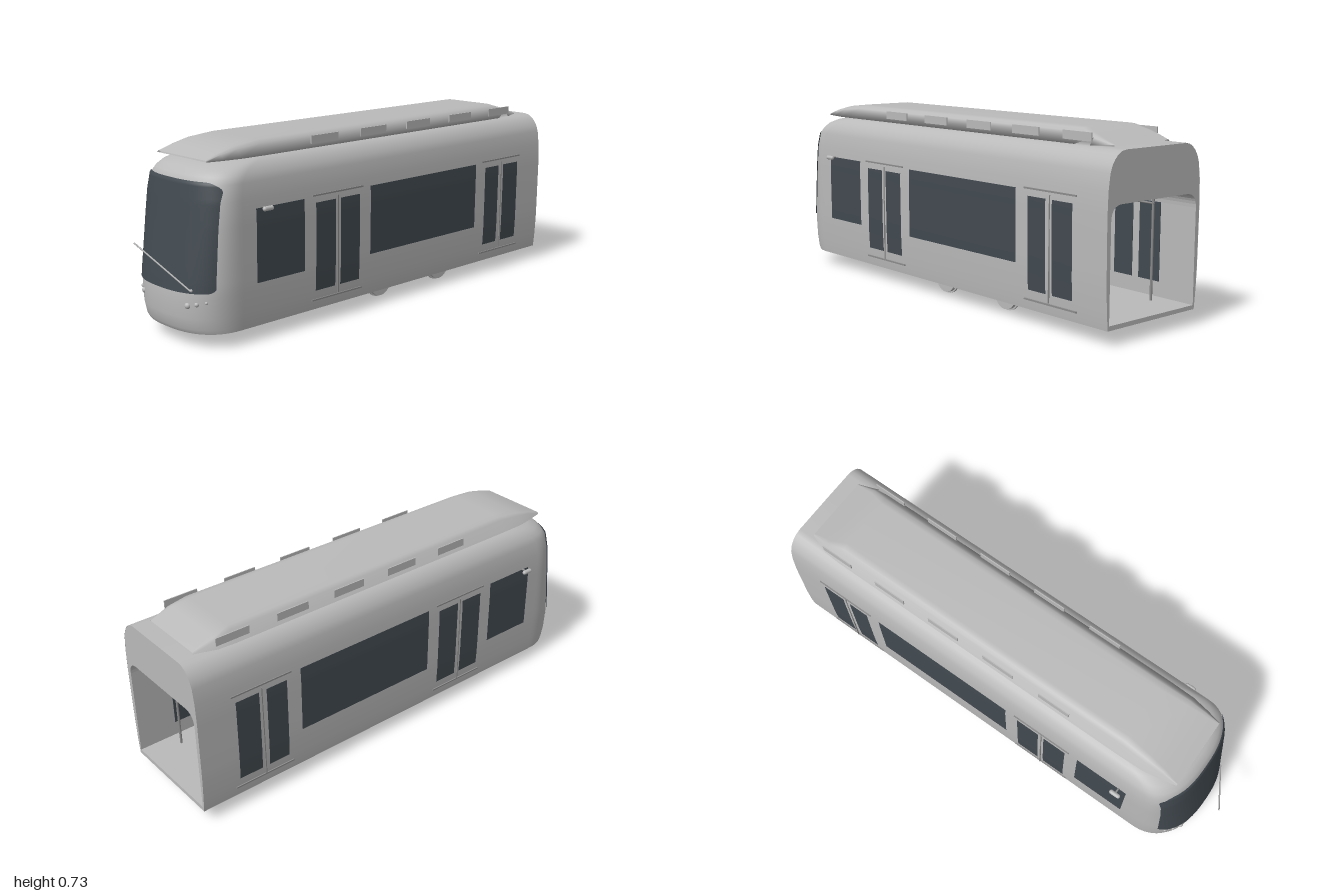
import * as THREE from 'three';

const body = new THREE.MeshStandardMaterial({ color: 0xbababa, side: THREE.DoubleSide });
body.name = 'light grey body';
const glass = new THREE.MeshStandardMaterial({ color: 0x424a50, side: THREE.DoubleSide });
glass.name = 'dark glass';
const trim = new THREE.MeshStandardMaterial({ color: 0x8c8c8c });
trim.name = 'grey trim';

// Hull levels: height, half width, nose z, z where the nose curve starts
const LEVELS = [
  [0.058, 0.23, 0.905, 0.73], [0.075, 0.232, 0.916, 0.73], [0.12, 0.236, 0.926, 0.73],
  [0.2, 0.24, 0.928, 0.73], [0.25, 0.241, 0.921, 0.73], [0.45, 0.243, 0.888, 0.73],
  [0.54, 0.24, 0.874, 0.73], [0.6, 0.232, 0.864, 0.72], [0.625, 0.223, 0.848, 0.7],
  [0.645, 0.21, 0.825, 0.67], [0.66, 0.195, 0.785, 0.63], [0.67, 0.178, 0.735, 0.58],
  [0.675, 0.155, 0.69, 0.55], [0.676, 0, 0.685, 0.55],
];
const N = 2.5; // roundness of the nose in plan

function level(y) {
  let i = 0;
  while (i < LEVELS.length - 2 && LEVELS[i + 1][0] < y) i++;
  const a = LEVELS[i], b = LEVELS[i + 1], t = (y - a[0]) / (b[0] - a[0]);
  return a.map((v, k) => v + (b[k] - v) * t);
}

// Surface from a grid of points
function grid(nu, nv, point) {
  const pos = [], index = [];
  for (let j = 0; j <= nv; j++) for (let i = 0; i <= nu; i++) pos.push(...point(i, j));
  for (let j = 0; j < nv; j++) for (let i = 0; i < nu; i++) {
    const a = j * (nu + 1) + i, d = a + nu + 1;
    index.push(a, a + 1, d, a + 1, d + 1, d);
  }
  const g = new THREE.BufferGeometry();
  g.setAttribute('position', new THREE.Float32BufferAttribute(pos, 3));
  g.setIndex(index);
  g.computeVertexNormals();
  return g;
}

// One point of the U-shaped outline of the hull
const STRAIGHT = 4, ARC = 56, OUTLINE = ARC + 2 * STRAIGHT;
function hullPoint(i, [y, w, zf, zc]) {
  if (i < STRAIGHT) return [-w, y, -1 + (zc + 1) * i / STRAIGHT];
  if (i > STRAIGHT + ARC) return [w, y, -1 + (zc + 1) * (OUTLINE - i) / STRAIGHT];
  const a = Math.PI * (1 - (i - STRAIGHT) / ARC), c = Math.cos(a);
  return [w * Math.sign(c) * Math.abs(c) ** (2 / N), y,
    zc + (zf - zc) * Math.max(0, Math.sin(a)) ** (2 / N)];
}

function noseZ(x, y) {
  const [, w, zf, zc] = level(y);
  return zc + (zf - zc) * Math.max(0, 1 - (Math.abs(x) / w) ** N) ** (1 / N);
}

export function createModel() {
  const root = new THREE.Group();
  const add = (name, geo, mat, x = 0, y = 0, z = 0) => {
    const m = new THREE.Mesh(geo, mat);
    m.name = name;
    m.position.set(x, y, z);
    root.add(m);
    return m;
  };
  const box = (name, w, h, d, mat, x, y, z) => add(name, new THREE.BoxGeometry(w, h, d), mat, x, y, z);
  const rod = (name, a, b, r, mat) => {
    const p = new THREE.Vector3(...a), q = new THREE.Vector3(...b);
    const m = add(name, new THREE.CylinderGeometry(r, r, p.distanceTo(q), 8), mat);
    m.position.copy(p).lerp(q, 0.5);
    m.quaternion.setFromUnitVectors(new THREE.Vector3(0, 1, 0), q.sub(p).normalize());
  };
  const disc = (name, r, w, mat, x, y, z) => {
    add(name, new THREE.CylinderGeometry(r, r, w, 28), mat, x, y, z).rotation.z = Math.PI / 2;
  };

  // Hull and underside
  add('hull', grid(OUTLINE, LEVELS.length - 1, (i, j) => hullPoint(i, LEVELS[j])), body);
  add('underside', grid(OUTLINE, 1, (i, j) => {
    const p = hullPoint(i, LEVELS[0]);
    return j ? p : [0, p[1], p[2]];
  }), body);

  // Hollow saloon with an arched opening at the rear
  const section = new THREE.Shape();
  const edge = LEVELS.slice(0, -1).map(([y, w]) => [w - 0.001, Math.min(y, 0.674)]);
  section.moveTo(-edge[0][0], 0.059);
  edge.forEach(([w, y]) => section.lineTo(w, y));
  edge.slice().reverse().forEach(([w, y]) => section.lineTo(-w, y));
  const arch = new THREE.Path();
  const W = 0.223, T = 0.49, R = 0.055;
  arch.moveTo(-W, 0.075);
  arch.lineTo(-W, T - R);
  arch.quadraticCurveTo(-W, T, -W + R, T);
  arch.lineTo(W - R, T);
  arch.quadraticCurveTo(W, T, W, T - R);
  arch.lineTo(W, 0.075);
  arch.closePath();
  section.holes.push(arch);
  add('saloonLining', new THREE.ExtrudeGeometry(section, { depth: 1.54, bevelEnabled: false, curveSegments: 8 }),
    body, 0, 0, -1);
  box('cabBulkhead', 0.45, 0.43, 0.01, body, 0, 0.28, 0.53);

  // Windscreen with rounded corners, wrapped on the nose
  add('windscreen', grid(48, 48, (i, j) => {
    const y = 0.4125 - 0.1975 * Math.cos(Math.PI * j / 48);
    const top = Math.max(0, (y - 0.575) / 0.035), low = Math.max(0, (0.232 - y) / 0.017);
    const cut = 0.06 * (1 - Math.sqrt(Math.max(0, 1 - top * top)))
      + 0.022 * (1 - Math.sqrt(Math.max(0, 1 - low * low)));
    const x = (0.219 - cut) * Math.sin(Math.PI / 2 * (i / 24 - 1));
    return [x * 1.006, y, noseZ(x, y) + 0.005];
  }), glass);

  // Side windows and door panes: front z, rear z, bottom y, top y
  const panes = [
    ['cabSideWindow', 0.67, 0.44, 0.225, 0.503], ['saloonWindow', 0.092, -0.55, 0.225, 0.503],
    ['doorPane', 0.382, 0.28, 0.134, 0.48], ['doorPane', 0.253, 0.151, 0.134, 0.48],
    ['doorPane', -0.614, -0.705, 0.134, 0.48], ['doorPane', -0.738, -0.839, 0.134, 0.48],
  ];
  for (const s of [1, -1]) {
    for (const [name, z1, z2, y1, y2] of panes) {
      add(name, grid(1, 20, (i, j) => {
        const y = y1 + (y2 - y1) * j / 20;
        return [s * (level(y)[1] + 0.002), y, (s > 0) === (i === 0) ? z1 : z2];
      }), glass);
      const zi = Math.min(z1, 0.52);
      box(name + 'Inside', 0.003, 0.435 - y1, zi - z2, glass, s * 0.2225, (0.435 + y1) / 2, (zi + z2) / 2);
    }

    // Door rails, sills, centre seals and grab bars
    for (const z of [0.267, -0.725]) {
      box('doorTopRail', 0.006, 0.006, 0.265, trim, s * 0.242, 0.508, z);
      box('doorSill', 0.008, 0.006, 0.265, trim, s * 0.235, 0.097, z);
      box('doorSeal', 0.004, 0.39, 0.004, trim, s * 0.2425, 0.3, z);
      rod('entrancePole', [s * 0.16, 0.075, z + 0.13], [s * 0.16, 0.488, z + 0.13], 0.005, trim);
      rod('entrancePole', [s * 0.16, 0.075, z - 0.13], [s * 0.16, 0.488, z - 0.13], 0.005, trim);
    }
    rod('ceilingRail', [s * 0.16, 0.44, -0.86], [s * 0.16, 0.44, 0.4], 0.004, trim);

    // Saloon seats
    for (const z of [-0.4, -0.2, 0]) {
      box('seatCushion', 0.09, 0.02, 0.08, body, s * 0.17, 0.17, z);
      box('seatBack', 0.09, 0.13, 0.015, body, s * 0.17, 0.235, z - 0.04);
      box('seatBase', 0.05, 0.09, 0.05, body, s * 0.18, 0.118, z);
    }

    // Roof vents
    for (let k = 0; k < 5; k++) box('roofVent', 0.004, 0.032, 0.142, body, s * 0.171, 0.705, 0.269 - k * 0.2635);

    // Mirrors
    rod('mirrorArm', [s * 0.235, 0.503, 0.635], [s * 0.27, 0.503, 0.635], 0.004, trim);
    add('mirror', new THREE.CapsuleGeometry(0.009, 0.03, 6, 12), body, s * 0.269, 0.503, 0.635).rotation.x = Math.PI / 2;

    // Headlamps
    for (const [x, y, r] of [[0.135, 0.167, 0.012], [0.167, 0.174, 0.009], [0.195, 0.181, 0.006]]) {
      add('headlamp', new THREE.SphereGeometry(r, 16, 12), body, s * x, y, noseZ(x, y) - r * 0.3);
    }

    // Wheels, inner discs and suspension caps
    for (const z of [-0.047, -0.41]) {
      disc('wheel', 0.058, 0.024, body, s * 0.155, 0.065, z);
      disc('wheelFlange', 0.064, 0.008, body, s * 0.148, 0.065, z);
      disc('wheelHub', 0.02, 0.034, trim, s * 0.155, 0.06, z);
      disc('brakeDisc', 0.04, 0.009, body, s * 0.096, 0.065, z);
    }
    for (const z of [-0.137, -0.32]) disc('suspensionCap', 0.022, 0.035, body, s * 0.168, 0.064, z);
    rod('bogieRod', [s * 0.12, 0.054, -0.41], [s * 0.12, 0.054, -0.047], 0.004, trim);
  }
  for (const z of [-0.16, -0.3]) box('tractionMotor', 0.145, 0.024, 0.045, body, -0.012, 0.048, z);

  // Roof pod: z, half width at the base, top height
  const pod = [[0.815, 0.15, 0.682], [0.75, 0.165, 0.705], [0.68, 0.177, 0.722], [0.57, 0.18, 0.734],
    [-0.78, 0.18, 0.734], [-0.85, 0.175, 0.712], [-0.935, 0.145, 0.682]];
  add('roofPod', grid(8, pod.length - 1, (i, j) => {
    const [z, w, top] = pod[j], h = top - 0.676;
    const half = [[w, 0.676], [w - 0.5 * h, 0.676 + 0.72 * h], [w - 0.75 * h, 0.676 + 0.92 * h], [w - 1.2 * h, top]];
    const loop = [...half.map(([x, y]) => [-x, y]), ...half.reverse(), [-w, 0.676]];
    return [...loop[i], z];
  }), body);

  // Windscreen wiper
  rod('wiper', [0.155, 0.226, 0.905], [-0.05, 0.38, 0.997], 0.003, body);
  add('wiperPivot', new THREE.SphereGeometry(0.006, 10, 8), body, 0.155, 0.226, 0.9);

  return root;
}
